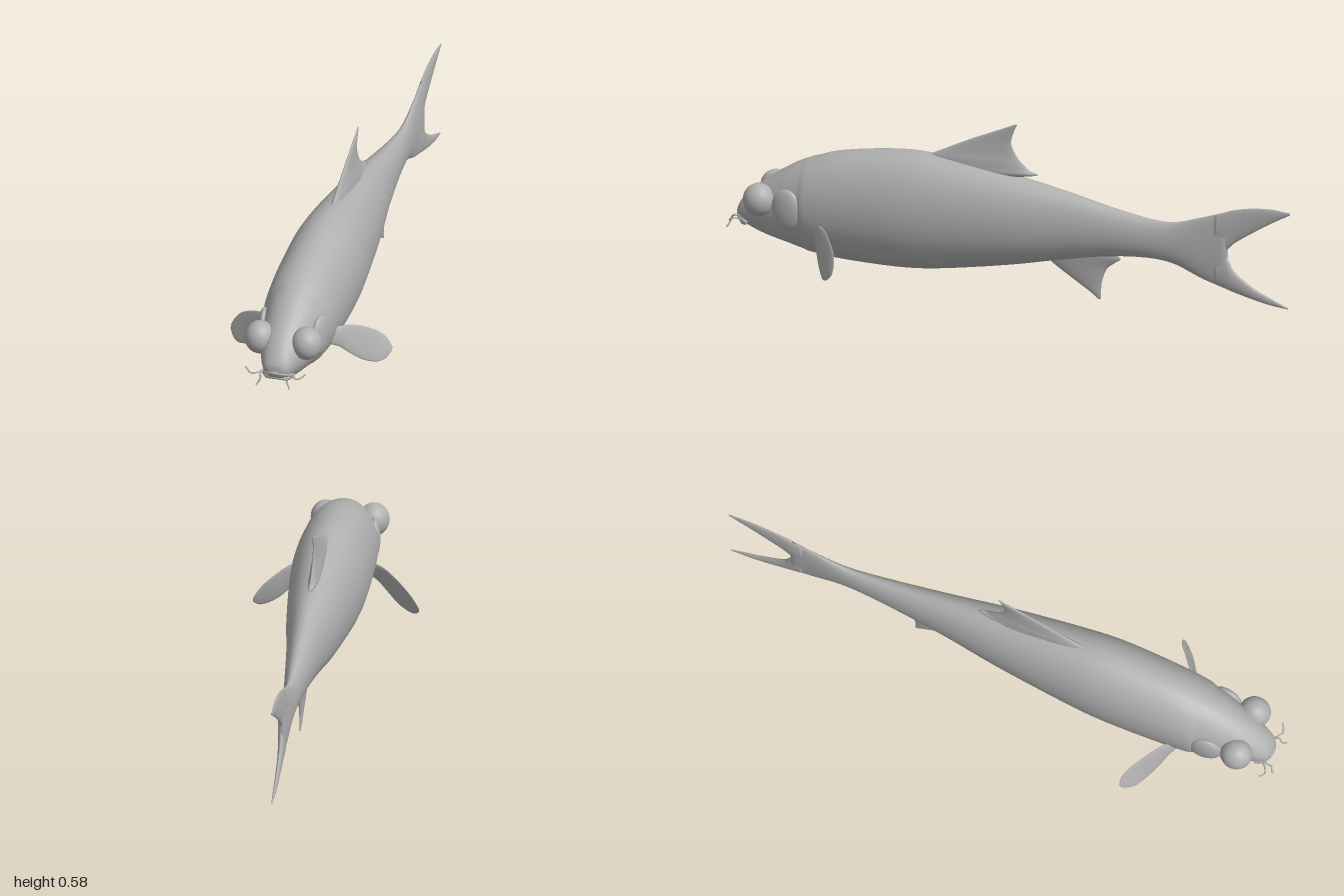
import * as THREE from 'three';

const skin = new THREE.MeshStandardMaterial({ color: 0xb0b0b0 });
skin.name = 'grey skin';

// Smooth skin over elliptical sections [s, low, high, halfThickness, tilt].
// place(s, across, thick) turns section coordinates into a point.
function loft(name, sections, place, n = 24, sub = 4) {
  const span = new THREE.CatmullRomCurve3(
    sections.map(([s, lo, hi]) => new THREE.Vector3(s, lo, hi)), false, 'catmullrom', 0.5);
  const thick = new THREE.CatmullRomCurve3(
    sections.map(([, , , w, t = 0]) => new THREE.Vector3(w, t, 0)), false, 'catmullrom', 0.5);
  const rows = (sections.length - 1) * sub;
  const pos = [], idx = [];
  for (let i = 0; i <= rows; i++) {
    const a = span.getPoint(i / rows), b = thick.getPoint(i / rows);
    for (let j = 0; j < n; j++) {
      const ang = (j / n) * Math.PI * 2, up = Math.sin(ang);
      pos.push(...place(a.x, (a.y + a.z) / 2 + up * (a.z - a.y) / 2, b.x * Math.cos(ang) + b.y * up));
    }
  }
  for (let i = 0; i < rows; i++) for (let j = 0; j < n; j++) {
    const k = (j + 1) % n, p = i * n, q = p + n;
    idx.push(p + j, p + k, q + j, p + k, q + k, q + j);
  }
  // end caps
  for (const row of [0, rows]) {
    const a = span.getPoint(row / rows), c = pos.length / 3;
    pos.push(...place(a.x, (a.y + a.z) / 2, 0));
    for (let j = 0; j < n; j++) {
      const p = row * n + j, q = row * n + (j + 1) % n;
      row ? idx.push(p, q, c) : idx.push(q, p, c);
    }
  }
  // turn faces outward whichever way the sections run
  const v = (i) => new THREE.Vector3().fromArray(pos, i * 3);
  let volume = 0;
  for (let i = 0; i < idx.length; i += 3) volume += v(idx[i]).dot(v(idx[i + 1]).cross(v(idx[i + 2])));
  if (volume < 0) idx.reverse();
  const g = new THREE.BufferGeometry();
  g.setAttribute('position', new THREE.Float32BufferAttribute(pos, 3));
  g.setIndex(idx);
  g.computeVertexNormals();
  return named(name, g);
}

function named(name, geometry) {
  const m = new THREE.Mesh(geometry, skin);
  m.name = name;
  return m;
}

function tube(name, points, r, segs = 20) {
  const curve = new THREE.CatmullRomCurve3(points.map((p) => new THREE.Vector3(...p)));
  return named(name, new THREE.TubeGeometry(curve, segs, r, 8));
}

function ball(name, r, position, scale = [1, 1, 1]) {
  const m = named(name, new THREE.SphereGeometry(r, 32, 20));
  m.position.set(...position);
  m.scale.set(...scale);
  return m;
}

export function createModel() {
  const fish = new THREE.Group();
  fish.name = 'fish';
  const alongZ = (s, y, t) => [t, y, s];
  const alongY = (s, z, t) => [t, s, z];

  // body from snout to tail fork: z, belly, back, half width
  fish.add(loft('body', [
    [0.972, 0.152, 0.182, 0.022], [0.96, 0.132, 0.205, 0.042], [0.93, 0.115, 0.24, 0.058],
    [0.87, 0.093, 0.29, 0.079], [0.78, 0.07, 0.348, 0.1], [0.73, 0.057, 0.372, 0.11],
    [0.7, 0.05, 0.383, 0.12], [0.6, 0.038, 0.413, 0.126], [0.4, 0.033, 0.44, 0.129],
    [0.25, 0.044, 0.436, 0.119], [0, 0.085, 0.4, 0.092], [-0.2, 0.127, 0.362, 0.063],
    [-0.4, 0.16, 0.318, 0.04], [-0.56, 0.16, 0.298, 0.024], [-0.68, 0.115, 0.328, 0.016],
    [-0.77, 0.087, 0.358, 0.011],
  ], alongZ, 36));

  // forked tail
  fish.add(loft('upperTailLobe', [
    [-0.73, 0.22, 0.343, 0.012], [-0.77, 0.225, 0.358, 0.011], [-0.8, 0.252, 0.368, 0.009],
    [-0.86, 0.292, 0.38, 0.007], [-0.93, 0.335, 0.385, 0.005], [-0.998, 0.372, 0.379, 0.002],
  ], alongZ, 16));
  fish.add(loft('lowerTailLobe', [
    [-0.73, 0.1, 0.21, 0.012], [-0.77, 0.087, 0.2, 0.011], [-0.8, 0.078, 0.15, 0.009],
    [-0.87, 0.06, 0.1, 0.007], [-0.93, 0.048, 0.072, 0.005], [-0.99, 0.041, 0.046, 0.002],
  ], alongZ, 16));

  // dorsal and anal fins: y, rear edge, front edge, half thickness
  fish.add(loft('dorsalFin', [
    [0.385, 0.05, 0.3, 0.02], [0.405, -0.092, 0.3, 0.02], [0.42, -0.066, 0.3, 0.019],
    [0.44, -0.043, 0.285, 0.017], [0.465, -0.02, 0.235, 0.012], [0.51, 0, 0.14, 0.007],
    [0.555, -0.012, 0.035, 0.004], [0.576, -0.022, -0.012, 0.002],
  ], alongY, 20));
  fish.add(loft('analFin', [
    [0.175, -0.33, -0.13, 0.012], [0.152, -0.392, -0.13, 0.012], [0.13, -0.368, -0.13, 0.011],
    [0.107, -0.342, -0.15, 0.009], [0.06, -0.325, -0.222, 0.006], [0.02, -0.322, -0.285, 0.004],
    [0, -0.322, -0.31, 0.002],
  ], alongY, 20));

  for (const [side, label] of [[1, 'left'], [-1, 'right']]) {
    // pectoral fin swept outward, down and back
    fish.add(loft(label + 'PectoralFin', [
      [0.1, 0.125, 0.18, 0.01, -0.006], [0.13, 0.11, 0.181, 0.009, -0.008],
      [0.16, 0.084, 0.177, 0.008, -0.014], [0.2, 0.052, 0.158, 0.007, -0.018],
      [0.24, 0.037, 0.13, 0.006, -0.02], [0.265, 0.042, 0.102, 0.005, -0.014],
      [0.28, 0.06, 0.075, 0.002, -0.004],
    ], (s, y, t) => [side * s, y, 0.645 - (s - 0.12) * 0.68 + t], 16));

    // bulging eye and gill cover
    fish.add(ball(label + 'Eye', 0.054, [side * 0.081, 0.234, 0.872], [0.95, 1.05, 1]));
    const gill = ball(label + 'GillCover', 1, [side * 0.097, 0.215, 0.768], [0.02, 0.07, 0.055]);
    gill.rotation.y = side * -0.15;
    fish.add(gill);

    // two barbels at each mouth corner
    fish.add(tube(label + 'OuterBarbel', [
      [side * 0.042, 0.14, 0.945], [side * 0.058, 0.152, 0.965],
      [side * 0.08, 0.15, 0.975], [side * 0.105, 0.165, 0.962],
    ], 0.0028));
    fish.add(tube(label + 'InnerBarbel', [
      [side * 0.04, 0.155, 0.95], [side * 0.05, 0.16, 0.972], [side * 0.046, 0.142, 0.985],
      [side * 0.054, 0.125, 0.99], [side * 0.058, 0.118, 0.997],
    ], 0.003));
  }

  // lips
  const lip = (name, y, mid, z) => fish.add(tube(name, [
    [-0.05, 0.135, 0.925], [-0.036, y, z - 0.012], [0, mid, z],
    [0.036, y, z - 0.012], [0.05, 0.135, 0.925],
  ], 0.007));
  lip('upperLip', 0.152, 0.158, 0.97);
  lip('lowerLip', 0.133, 0.138, 0.96);

  return fish;
}
